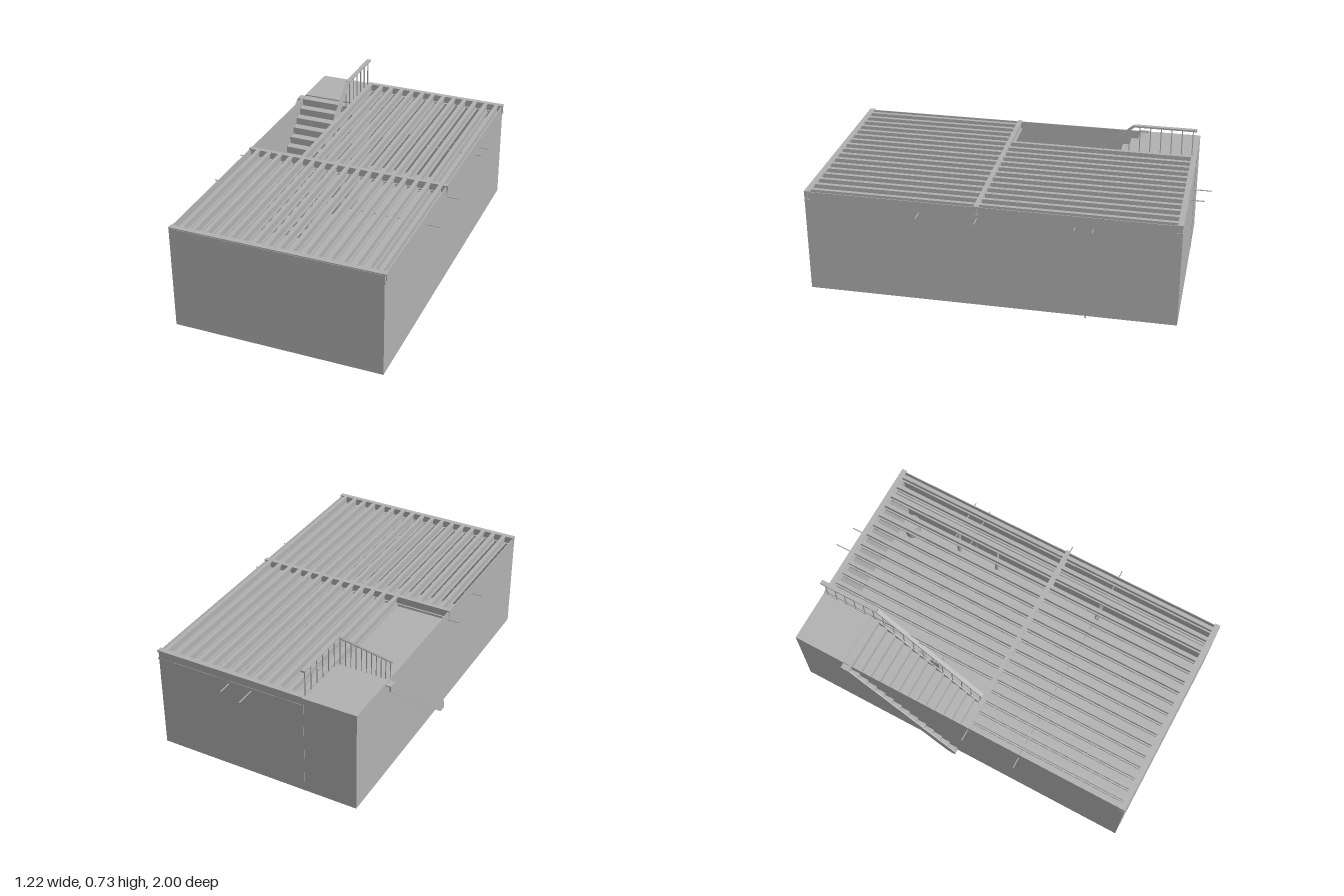
import * as THREE from 'three';

export function createModel() {
  const model = new THREE.Group();
  model.name = 'basement';
  const grey = new THREE.MeshStandardMaterial({ color: 0xb2b2b2, side: THREE.DoubleSide });
  grey.name = 'plain grey';

  const add = (name, geometry, parent = model) => {
    const mesh = new THREE.Mesh(geometry, grey);
    mesh.name = name;
    parent.add(mesh);
    return mesh;
  };
  const group = (name) => {
    const g = new THREE.Group();
    g.name = name;
    model.add(g);
    return g;
  };
  // Box given by its limits on each axis
  const box = (name, x0, x1, y0, y1, z0, z1, parent) => {
    const m = add(name, new THREE.BoxGeometry(x1 - x0, y1 - y0, z1 - z0), parent);
    m.position.set((x0 + x1) / 2, (y0 + y1) / 2, (z0 + z1) / 2);
    return m;
  };
  // Thin round pipe through a list of points
  const pipe = (name, points, r = 0.003, parent = model) => {
    for (let i = 1; i < points.length; i++) {
      const a = new THREE.Vector3(...points[i - 1]), b = new THREE.Vector3(...points[i]);
      const d = b.clone().sub(a);
      const m = add(name, new THREE.CylinderGeometry(r, r, d.length(), 8), parent);
      m.position.copy(a).add(b).multiplyScalar(0.5);
      m.quaternion.setFromUnitVectors(new THREE.Vector3(0, 1, 0), d.normalize());
    }
  };

  // Floor and walls
  const L = -0.55, R = 0.545, B = -0.895, F = 0.998, Y0 = 0.025, TOP = 0.583;
  box('floor', L, R, Y0, 0.03, B, F);
  box('frontWall', L, R, Y0, 0.577, F - 0.004, F);
  box('backWall', L, R, Y0, 0.577, B, B + 0.004);
  box('leftWall', R - 0.004, R, Y0, 0.577, B, F);
  box('rightWall', L, L + 0.004, Y0, 0.577, B, F);

  // Floor joists: top flange, web and bottom flange
  const joists = group('joists');
  const joist = (x, z0, z1) => {
    box('joistTop', x - 0.0105, x + 0.0105, TOP - 0.008, TOP, z0, z1, joists);
    box('joistWeb', x - 0.002, x + 0.002, TOP - 0.044, TOP - 0.008, z0, z1, joists);
    box('joistBottom', x - 0.0105, x + 0.0105, TOP - 0.052, TOP - 0.044, z0, z1, joists);
  };
  for (let i = 0; i < 17; i++) {
    const x = -0.497 + i * 0.0633;
    joist(x, 0.125, 0.975);
    if (x > -0.22) joist(x, -0.88, 0.105);
  }
  joist(-0.25, -0.88, 0.105);

  // Rim beams across the width
  const rims = group('rimBeams');
  const rim = (x0, x1, z, w) => {
    box('rimTop', x0, x1, TOP - 0.008, TOP, z - w, z + w, rims);
    box('rimWeb', x0, x1, TOP - 0.044, TOP - 0.008, z - 0.003, z + 0.003, rims);
    box('rimBottom', x0, x1, TOP - 0.052, TOP - 0.044, z - w, z + w, rims);
  };
  rim(-0.552, 0.551, 0.982, 0.014);
  rim(-0.552, 0.551, 0.115, 0.012);
  rim(-0.262, 0.551, -0.883, 0.014);

  // Girder below the joists, with posts
  box('girderTop', 0.43, 0.465, 0.522, 0.53, -0.89, 0.99);
  box('girderWeb', 0.444, 0.451, 0.486, 0.522, -0.89, 0.99);
  box('girderBottom', 0.43, 0.465, 0.478, 0.486, -0.89, 0.99);
  for (const z of [-0.5, -0.26, 0.37]) pipe('post', [[0.448, 0.03, z], [0.448, 0.48, z]], 0.012);

  // Staircase running down towards the front
  const stairs = group('stairs');
  const SX0 = -0.579, SX1 = -0.272, steps = 14, rise = 0.546 / steps, run = 0.65 / steps;
  for (let i = 0; i < steps; i++) {
    const y = 0.57 - i * rise, z = -0.61 + i * run;
    box('tread', SX0, SX1, y - 0.006, y, z, z + run, stairs);
    box('riser', SX0, SX1, y - rise, y, z + run - 0.005, z + run, stairs);
  }
  const side = new THREE.Shape([
    [-0.61, 0.57], [-0.56, 0.57], [0.04, 0.064], [0.04, 0.022], [0.0, 0.022], [-0.61, 0.535],
  ].map(([z, y]) => new THREE.Vector2(-z, y)));
  for (const x of [SX0, SX1]) {
    const s = add('stringer', new THREE.ExtrudeGeometry(side, { depth: 0.006, bevelEnabled: false }), stairs);
    s.rotation.y = Math.PI / 2;
    s.position.x = x;
  }
  box('stairSill', SX1, -0.262, 0.022, 0.03, -0.21, 0.04, stairs);
  box('landing', L, -0.262, 0.565, 0.577, B, -0.61);
  box('landingPartition', -0.269, -0.262, Y0, 0.58, B - 0.002, -0.61);

  // Handrail: level on the landing, sloping above the steps
  const railing = group('railing');
  const slope = 0.86, railY = (z) => (z < -0.56 ? 0.727 : 0.727 - (z + 0.56) * slope);
  box('levelRail', -0.278, -0.255, 0.721, 0.73, -0.89, -0.56, railing);
  const len = 0.6 * Math.hypot(1, slope);
  const sloped = add('slopingRail', new THREE.BoxGeometry(0.023, 0.009, len), railing);
  sloped.position.set(-0.2665, 0.726 - 0.3 * slope, -0.26);
  sloped.rotation.x = Math.atan(slope);
  for (let i = 0; i < 17; i++) {
    const z = -0.87 + i * 0.056;
    const foot = z < -0.61 ? 0.575 : 0.57 - (z + 0.61) * 0.84;
    box('baluster', -0.269, -0.264, foot, railY(z), z - 0.0025, z + 0.0025, railing);
  }

  // Pipes that pass through the walls
  pipe('waterPipe', [[0.018, 0.52, -1.0], [0.018, 0.52, -0.375], [0.58, 0.515, -0.375]]);
  pipe('gasPipe', [[0.142, 0.52, -0.97], [0.142, 0.52, -0.465], [0.59, 0.515, -0.465]]);
  pipe('crossPipe', [[-0.61, 0.525, 0.113], [0.61, 0.515, 0.113]]);
  pipe('crossPipe', [[-0.61, 0.525, 0.408], [0.61, 0.515, 0.408]]);
  pipe('floorDrain', [[0.525, 0, -0.435], [0.53, 0.3, -0.435]]);
  pipe('ceilingPipe', [[0.148, 0.5, -0.22], [0.148, 0.5, -0.03]]);

  // Equipment standing in the cellar
  const tank = add('waterTank', new THREE.CylinderGeometry(0.055, 0.055, 0.26, 24));
  tank.position.set(-0.205, 0.16, -0.412);
  box('furnace', -0.235, -0.18, 0.03, 0.25, -0.3, -0.245);
  const sump = add('sumpBarrel', new THREE.CylinderGeometry(0.045, 0.045, 0.12, 24));
  sump.position.set(0.465, 0.09, -0.82);
  return model;
}
